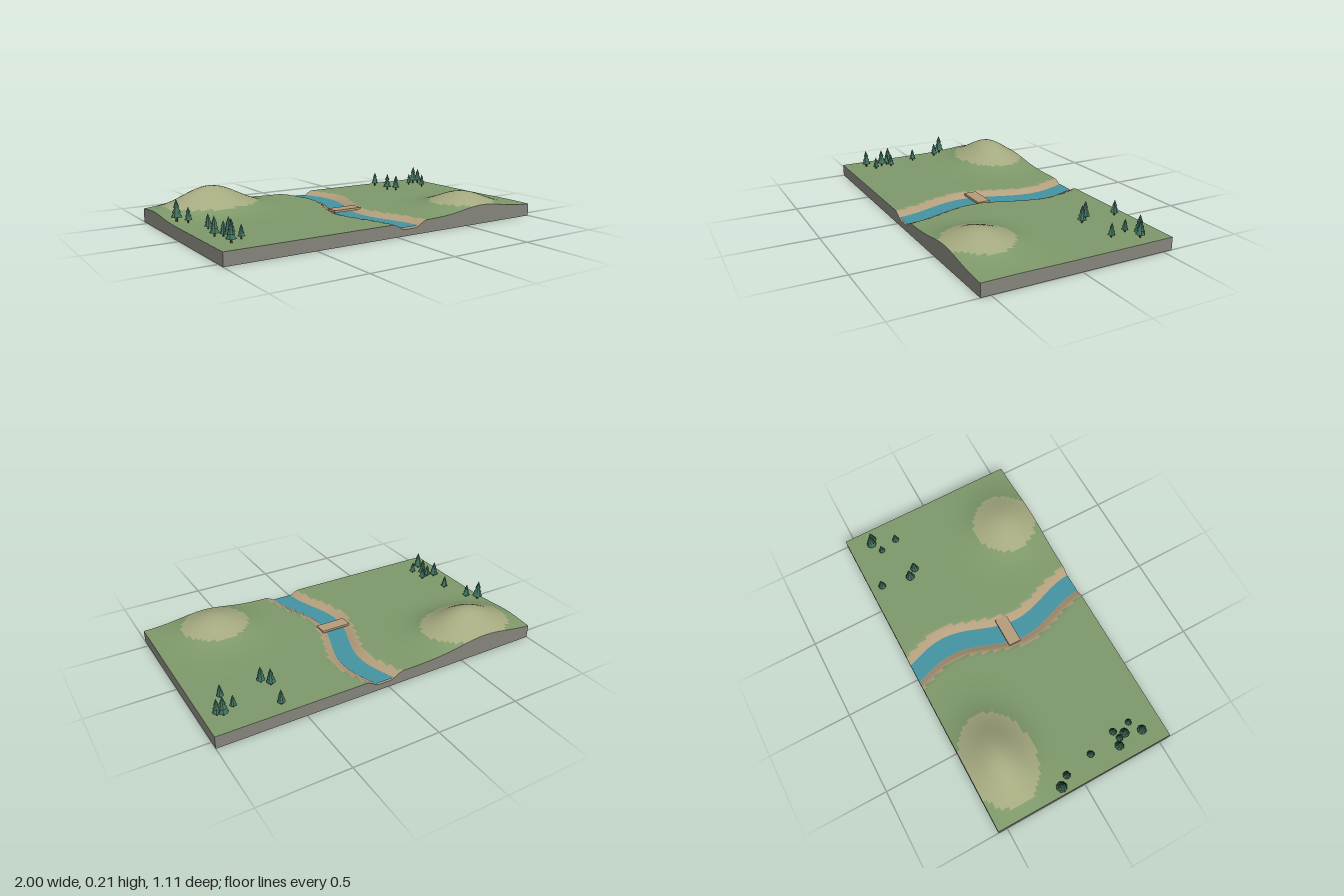
import * as THREE from 'three';

const W = 2, D = 1.11, NX = 90, NZ = 50, BASE = 0.072;

// x, z, height, spread in x, spread in z
const HILLS = [[-0.66, -0.37, 0.138, 0.172, 0.128], [0.62, 0.37, 0.09, 0.146, 0.141]];

// x, z, total height
const TREES = [
  [-0.957, -0.136, 0.122], [-0.914, -0.078, 0.087], [-0.877, 0.1, 0.083],
  [-0.914, 0.265, 0.105], [-0.877, 0.29, 0.082], [-0.829, 0.276, 0.085],
  [-0.866, 0.329, 0.108], [-0.824, 0.382, 0.076], [-0.898, 0.425, 0.108],
  [0.61, -0.484, 0.09], [0.583, -0.307, 0.105], [0.62, -0.26, 0.1],
  [0.829, -0.382, 0.074], [0.898, -0.42, 0.115], [0.925, -0.404, 0.1], [0.856, -0.275, 0.082],
];

const mat = (color, extra = {}) => new THREE.MeshStandardMaterial({ color, ...extra });
const twoSided = { side: THREE.DoubleSide };

const riverX = (z) => 0.035 - 0.052 * Math.cos((2 * Math.PI * (z - 0.13)) / 0.88);
const bankDistance = (x, z) => Math.abs(x - riverX(z));

function groundHeight(x, z) {
  let y = BASE;
  for (const [hx, hz, h, sx, sz] of HILLS) {
    y += h * Math.exp(-((x - hx) ** 2) / (2 * sx * sx) - ((z - hz) ** 2) / (2 * sz * sz));
  }
  return y - 0.035 * (1 - THREE.MathUtils.smoothstep(bankDistance(x, z), 0.035, 0.115));
}

function addMesh(parent, name, geometry, material) {
  const mesh = new THREE.Mesh(geometry, material);
  mesh.name = name;
  parent.add(mesh);
  return mesh;
}

// Height field, with its cells sorted into grass, sand and hilltop
function makeTerrain() {
  const group = new THREE.Group();
  group.name = 'terrain';
  const plane = new THREE.PlaneGeometry(W, D, NX, NZ).rotateX(-Math.PI / 2);
  const pos = plane.attributes.position;
  for (let i = 0; i < pos.count; i++) pos.setY(i, groundHeight(pos.getX(i), pos.getZ(i)));
  plane.computeVertexNormals();

  const cells = { grass: [], riverBank: [], hilltop: [] };
  const source = plane.index.array;
  for (let i = 0; i < source.length; i += 6) {
    const a = source[i], c = source[i + 4];
    const x = (pos.getX(a) + pos.getX(c)) / 2, z = (pos.getZ(a) + pos.getZ(c)) / 2;
    let kind = 'grass';
    if (bankDistance(x, z) < 0.112) kind = 'riverBank';
    else if (groundHeight(x, z) > 0.108) kind = 'hilltop';
    cells[kind].push(...source.slice(i, i + 6));
  }
  const colors = { grass: 0x7f9a6b, riverBank: 0xb39f7d, hilltop: 0xa5aa80 };
  for (const kind in cells) {
    const geometry = new THREE.BufferGeometry();
    geometry.setAttribute('position', pos);
    geometry.setAttribute('normal', plane.attributes.normal);
    geometry.setIndex(cells[kind]);
    addMesh(group, kind, geometry, mat(colors[kind], twoSided));
  }
  return group;
}

// Wall from the ground edge down to y = 0, between two corners
function wallGeometry(x0, z0, x1, z1, steps) {
  const geometry = new THREE.PlaneGeometry(1, 1, steps, 1);
  const pos = geometry.attributes.position;
  for (let i = 0; i < pos.count; i++) {
    const t = pos.getX(i) + 0.5, top = pos.getY(i) > 0;
    const x = THREE.MathUtils.lerp(x0, x1, t), z = THREE.MathUtils.lerp(z0, z1, t);
    pos.setXYZ(i, x, top ? groundHeight(x, z) : 0, z);
  }
  geometry.computeVertexNormals();
  return geometry;
}

// Ribbon following the river course
function waterGeometry() {
  const geometry = new THREE.PlaneGeometry(0.116, D, 1, 60).rotateX(-Math.PI / 2);
  const pos = geometry.attributes.position;
  for (let i = 0; i < pos.count; i++) {
    pos.setX(i, pos.getX(i) + riverX(pos.getZ(i)));
    pos.setY(i, 0.048);
  }
  geometry.computeVertexNormals();
  return geometry;
}

// Trunk and three stacked cones, for a tree of height 1
const leafMat = mat(0x3f6f5c, { flatShading: true });
const trunkMat = mat(0x5c4432);
const trunkGeo = new THREE.CylinderGeometry(0.04, 0.055, 0.3, 6).translate(0, 0.13, 0);
const tierGeos = [[0.19, 0.4, 0.26], [0.4, 0.36, 0.2], [0.62, 0.38, 0.14]].map(
  ([y, h, r]) => new THREE.ConeGeometry(r, h, 8).translate(0, y + h / 2, 0)
);

function makeTree(x, z, height, turn) {
  const tree = new THREE.Group();
  tree.name = 'tree';
  addMesh(tree, 'trunk', trunkGeo, trunkMat);
  for (const tier of tierGeos) addMesh(tree, 'foliage', tier, leafMat);
  tree.position.set(x, groundHeight(x, z), z);
  tree.scale.setScalar(height);
  tree.rotation.y = turn;
  return tree;
}

export function createModel() {
  const model = new THREE.Group();
  model.name = 'landscape';
  model.add(makeTerrain());

  // Side walls, front, right, back, left
  const wallMat = mat(0x86867d, twoSided);
  const hx = W / 2, hz = D / 2;
  const corners = [[-hx, hz], [hx, hz], [hx, -hz], [-hx, -hz]];
  corners.forEach((c, i) => {
    const n = corners[(i + 1) % 4];
    addMesh(model, 'sideWall', wallGeometry(...c, ...n, i % 2 ? NZ : NX), wallMat);
  });

  addMesh(model, 'river', waterGeometry(), mat(0x4594a2, twoSided));

  // Flat bridge resting on both banks
  const bridge = addMesh(model, 'bridge', new THREE.BoxGeometry(0.18, 0.013, 0.075), mat(0xb89d7a));
  bridge.position.set(-0.003, 0.068, 0.052);

  TREES.forEach(([x, z, h], i) => model.add(makeTree(x, z, h, i * 0.7)));
  return model;
}
